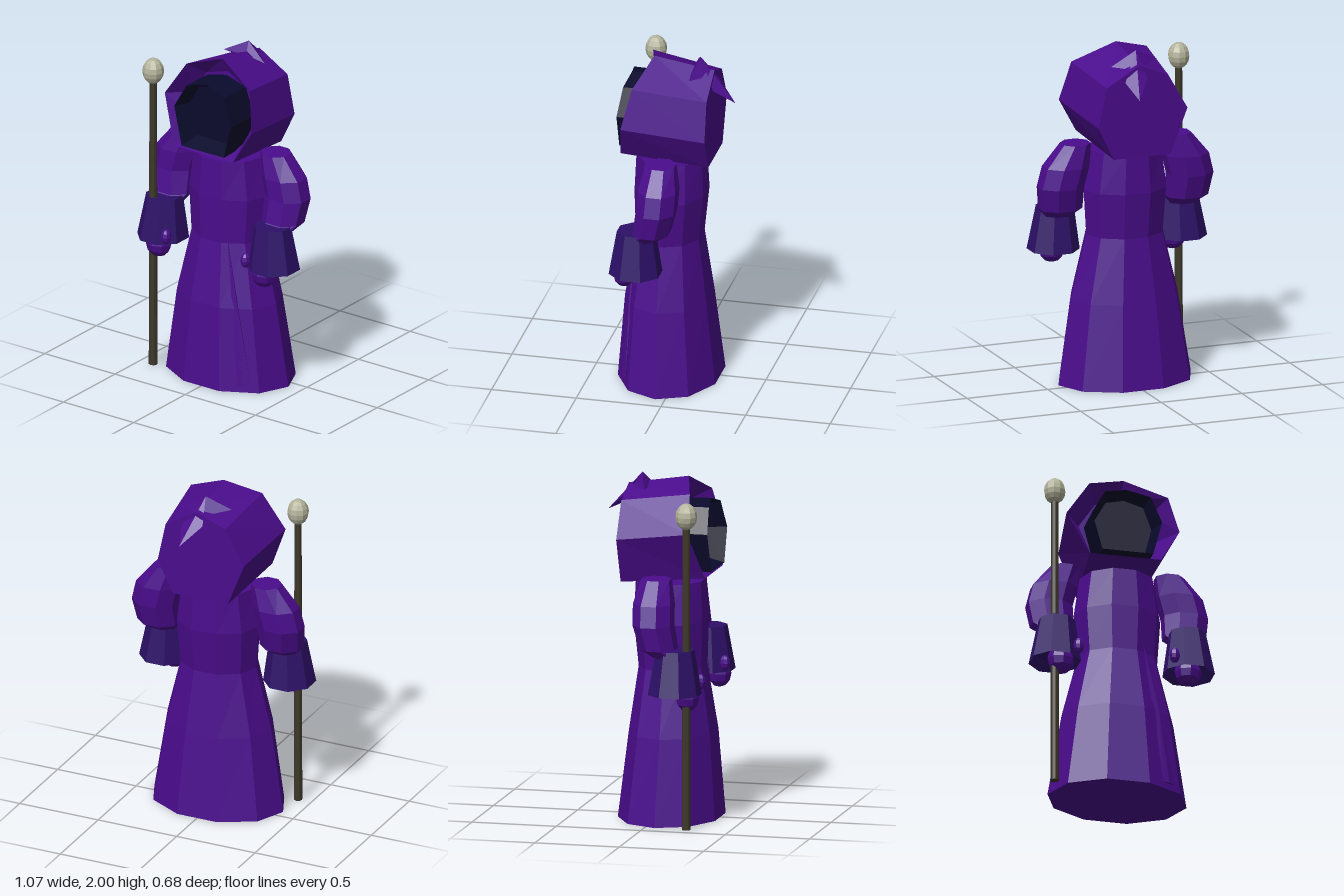
import * as THREE from 'three';
import { ConvexGeometry } from 'three/addons/geometries/ConvexGeometry.js';

const mat = (name, color) => new THREE.MeshStandardMaterial({ name, color, flatShading: true });

// Skin through a list of equal-length point rings, closed at both ends
function loft(rings) {
  const n = rings[0].length, pos = [], idx = [];
  rings.forEach(r => r.forEach(p => pos.push(...p)));
  for (let j = 0; j < rings.length - 1; j++) {
    for (let i = 0; i < n; i++) {
      const a = j * n + i, b = j * n + (i + 1) % n;
      idx.push(a, b, b + n, a, b + n, a + n);
    }
  }
  const cap = (start, ring, flip) => {
    const c = pos.length / 3;
    pos.push(...[0, 1, 2].map(k => ring.reduce((s, p) => s + p[k], 0) / n));
    for (let i = 0; i < n; i++) {
      const a = start + i, b = start + (i + 1) % n;
      flip ? idx.push(c, b, a) : idx.push(c, a, b);
    }
  };
  cap(0, rings[0], true);
  cap((rings.length - 1) * n, rings[rings.length - 1], false);
  const g = new THREE.BufferGeometry();
  g.setAttribute('position', new THREE.Float32BufferAttribute(pos, 3));
  g.setIndex(idx);
  const flat = g.toNonIndexed();
  flat.computeVertexNormals();
  return flat;
}

// Horizontal elliptical ring, with half a side of turn so a flat face looks forward
function oval(sides, y, cx, rx, cz, rz) {
  return Array.from({ length: sides }, (_, i) => {
    const a = (i + 0.5) / sides * Math.PI * 2;
    return [cx + Math.sin(a) * rx, y, cz + Math.cos(a) * rz];
  });
}

// Shrink a ring about a centre and place it at a fixed depth
const inset = (ring, s, cy, z) => ring.map(p => [p[0] * s, cy + (p[1] - cy) * s, z]);

const hull = pts => new ConvexGeometry(pts.map(p => new THREE.Vector3(...p)));

export function createModel() {
  const model = new THREE.Group();
  const cloth = mat('purple cloth', 0x4a0c8c);
  const cuffCloth = mat('dark cuff cloth', 0x2d1068);
  const shadow = mat('dark face', 0x0a0b2c);
  const wood = mat('staff wood', 0x3d3829);
  const stone = mat('pale orb', 0xb4b49c);
  const add = (name, geometry, material, parent = model) => {
    const m = new THREE.Mesh(geometry, material);
    m.name = name;
    parent.add(m);
    return m;
  };

  // Robe: y, half width, depth centre, half depth
  add('robe', loft([
    [0, 0.41, 0.057, 0.302],
    [0.5, 0.33, 0.068, 0.252],
    [0.88, 0.235, 0.065, 0.195],
    [1.15, 0.255, 0.055, 0.213],
    [1.385, 0.22, 0.055, 0.203],
  ].map(([y, rx, cz, rz]) => oval(10, y, 0, rx, cz, rz))), cloth);

  // Narrow fold down the front of the skirt
  add('robeFold', hull([
    [0.11, 0.93, 0.242], [0.22, 0.04, 0.296], [0.29, 0.04, 0.26],
    [0.255, 0.04, 0.288], [0.2, 0.5, 0.262], [0.2, 0.04, 0.26],
  ]), cloth);

  // Hood: hollow seven-sided prism with a leaning rim
  const rim = [
    [0.015, 1.985, 0.155], [0.26, 1.87, 0.23], [0.315, 1.635, 0.285], [0.2, 1.435, 0.31],
    [-0.22, 1.435, 0.31], [-0.34, 1.71, 0.235], [-0.2, 1.92, 0.215],
  ];
  const back = [
    [0.015, 1.93, -0.2], [0.215, 1.815, -0.2], [0.265, 1.58, -0.2], [0.17, 1.385, -0.2],
    [-0.18, 1.385, -0.2], [-0.285, 1.65, -0.2], [-0.165, 1.86, -0.2],
  ];
  add('hood', loft([inset(rim, 0.7, 1.66, 0.1), rim, back]), cloth);

  // Crease and drooping point on the hood
  add('hoodCrease', hull([
    [-0.145, 1.925, -0.07], [0.14, 1.905, -0.08], [0, 2, -0.115], [0.015, 1.9, -0.2], [0.015, 1.93, -0.07],
  ]), cloth);
  add('hoodPoint', hull([
    [0, 2, -0.115], [0.065, 1.76, -0.335], [-0.03, 1.86, -0.22], [0.105, 1.84, -0.212], [0.03, 1.83, -0.19],
  ]), cloth);

  // Hollow dark face inside the hood
  const face = [
    [0, 1.865, 0.29], [0.14, 1.825, 0.31], [0.2, 1.66, 0.335], [0.15, 1.46, 0.33],
    [-0.15, 1.46, 0.33], [-0.21, 1.69, 0.32], [-0.13, 1.835, 0.31],
  ];
  add('face', loft([inset(face, 0.82, 1.66, 0.22), face, inset(face, 0.98, 1.66, 0.09)]), shadow);

  // Arms: sleeve, flared cuff, hand and thumb
  for (const s of [1, -1]) {
    const arm = new THREE.Group();
    arm.name = s > 0 ? 'leftArm' : 'rightArm';
    model.add(arm);
    add('sleeve', loft([
      [1.0, 0.385, 0.09, 0.135, 0.09],
      [1.05, 0.39, 0.13, 0.08, 0.11],
      [1.19, 0.4, 0.14, 0.05, 0.12],
      [1.31, 0.37, 0.14, 0.045, 0.12],
      [1.44, 0.31, 0.09, 0.045, 0.09],
    ].map(([y, cx, rx, cz, rz]) => oval(8, y, s * cx, rx, cz, rz))), cloth, arm);
    add('cuff', loft([
      oval(8, 0.84, s * 0.395, 0.11, 0.175, 0.11),
      oval(8, 0.785, s * 0.395, 0.152, 0.175, 0.157),
      oval(8, 1.045, s * 0.385, 0.108, 0.175, 0.112),
    ]), cuffCloth, arm);
    const hand = add('hand', new THREE.SphereGeometry(1, 8, 6), cloth, arm);
    hand.scale.set(0.08, 0.085, 0.07);
    hand.position.set(s * 0.375, 0.77, 0.245);
    const thumb = add('thumb', new THREE.SphereGeometry(1, 8, 6), cloth, arm);
    thumb.scale.set(0.031, 0.047, 0.031);
    thumb.position.set(s * 0.283, 0.845, 0.3);
  }

  // Staff with a pale orb on top
  const staff = new THREE.Group();
  staff.name = 'staff';
  staff.position.set(-0.413, 0, 0.248);
  model.add(staff);
  add('staffPole', new THREE.CylinderGeometry(0.022, 0.026, 1.8, 8), wood, staff).position.y = 0.9;
  const orb = add('staffOrb', new THREE.SphereGeometry(1, 10, 8), stone, staff);
  orb.scale.set(0.063, 0.078, 0.063);
  orb.position.y = 1.832;

  return model;
}
